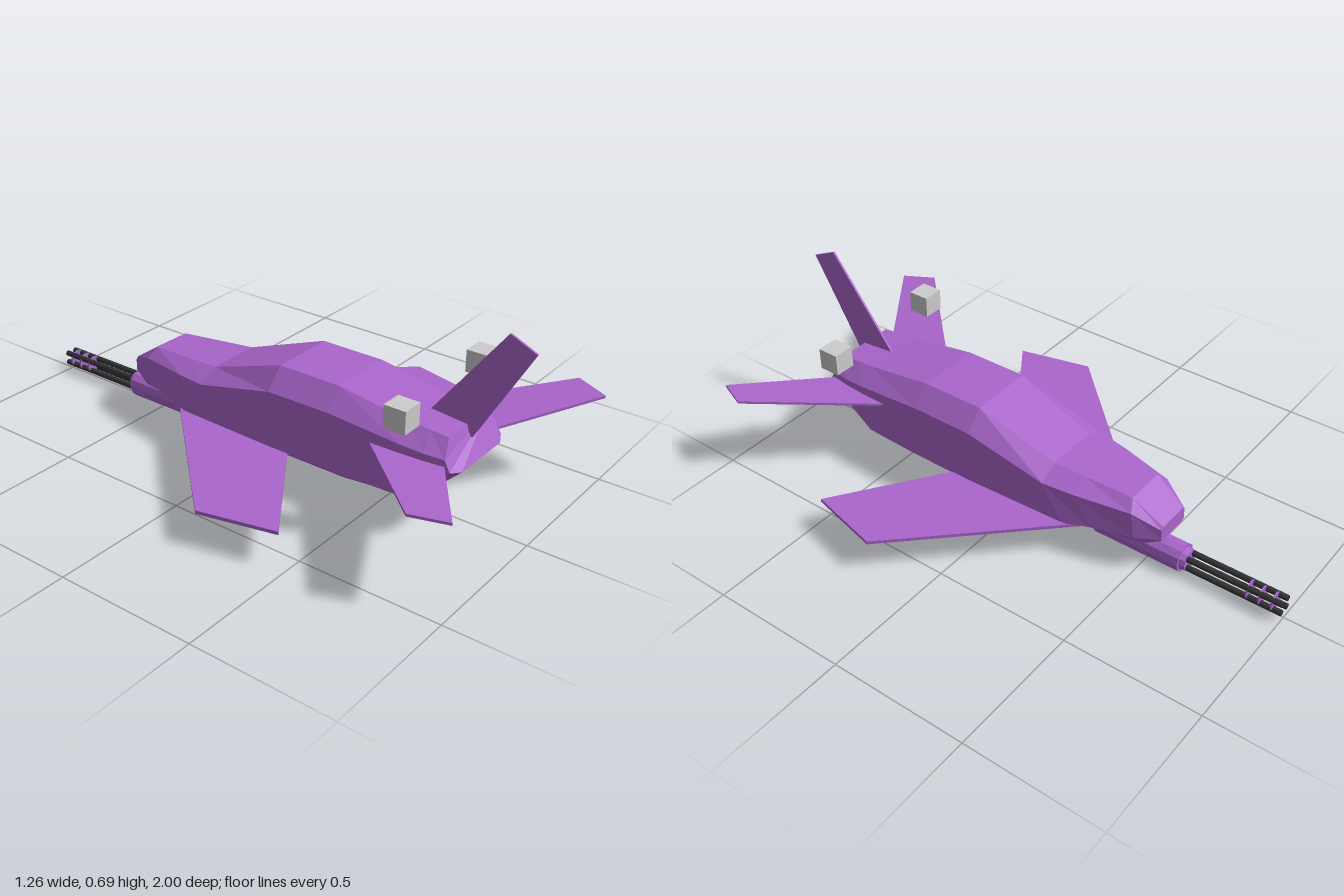
import * as THREE from 'three';

const purple = new THREE.MeshStandardMaterial({ name: 'purple paint', color: 0xaa66cc, flatShading: true });
const dark = new THREE.MeshStandardMaterial({ name: 'dark gunmetal', color: 0x333333 });
const grey = new THREE.MeshStandardMaterial({ name: 'light grey', color: 0xcccccc });

// Octagonal hull: each section lists top, shoulder, chine and keel as [x, y, z], tail to nose
const sections = [
  [[0.11, 0.354, 0.765], [0.155, 0.30, 0.78], [0.155, 0.262, 0.80], [0.115, 0.255, 0.82]],
  [[0.113, 0.36, 0.70], [0.168, 0.305, 0.71], [0.168, 0.195, 0.70], [0.115, 0.17, 0.73]],
  [[0.116, 0.366, 0.63], [0.175, 0.312, 0.63], [0.175, 0.132, 0.60], [0.12, 0.10, 0.62]],
  [[0.12, 0.405, 0.365], [0.183, 0.335, 0.365], [0.183, 0.13, 0.39], [0.12, 0.08, 0.39]],
  [[0.12, 0.405, 0.13], [0.185, 0.335, 0.13], [0.185, 0.13, 0.13], [0.12, 0.08, 0.13]],
  [[0.10, 0.30, -0.17], [0.172, 0.26, -0.17], [0.172, 0.13, -0.25], [0.115, 0.08, -0.25]],
  [[0.09, 0.293, -0.28], [0.155, 0.255, -0.28], [0.148, 0.145, -0.345], [0.10, 0.114, -0.345]],
  [[0.075, 0.28, -0.462], [0.11, 0.245, -0.48], [0.11, 0.15, -0.495], [0.08, 0.118, -0.515]],
  [[0.06, 0.205, -0.575], [0.07, 0.195, -0.575], [0.07, 0.155, -0.575], [0.06, 0.145, -0.575]],
];

function hullGeometry() {
  const rings = sections.map(s => [...s, ...s.slice().reverse().map(([x, y, z]) => [-x, y, z])]);
  const pos = [];
  const tri = (...p) => p.forEach(v => pos.push(...v));
  for (let s = 0; s < rings.length - 1; s++) {
    for (let i = 0; i < 8; i++) {
      const j = (i + 1) % 8, a = rings[s], b = rings[s + 1];
      tri(a[i], a[j], b[j]);
      tri(a[i], b[j], b[i]);
    }
  }
  const tail = rings[0], nose = rings[rings.length - 1];
  for (let i = 1; i < 7; i++) {
    tri(tail[0], tail[i + 1], tail[i]);
    tri(nose[0], nose[i], nose[i + 1]);
  }
  const g = new THREE.BufferGeometry();
  g.setAttribute('position', new THREE.Float32BufferAttribute(pos, 3));
  g.computeVertexNormals();
  return g;
}

function plate(points, thickness) {
  const shape = new THREE.Shape(points.map(p => new THREE.Vector2(...p)));
  return new THREE.ExtrudeGeometry(shape, { depth: thickness, bevelEnabled: false })
    .translate(0, 0, -thickness / 2);
}

// Horizontal plate from [x, z] points, rising outward by the given slope
function wing(points, side, y, slope, thickness) {
  const g = plate(points.map(([x, z]) => [x * side, z]), thickness).rotateX(Math.PI / 2);
  const p = g.attributes.position;
  for (let i = 0; i < p.count; i++) {
    p.setY(i, p.getY(i) + y + slope * (Math.abs(p.getX(i)) - 0.15));
  }
  g.computeVertexNormals();
  return g;
}

// Cylinder along z between z0 (rear) and z1 (front)
function rod(rRear, rFront, z0, z1, sides) {
  return new THREE.CylinderGeometry(rFront, rRear, z0 - z1, sides)
    .rotateX(-Math.PI / 2).translate(0, 0, (z0 + z1) / 2);
}

export function createModel() {
  const model = new THREE.Group();
  model.name = 'aircraft';
  const add = (name, geometry, material, parent = model) => {
    const mesh = new THREE.Mesh(geometry, material);
    mesh.name = name;
    parent.add(mesh);
    return mesh;
  };

  add('fuselage', hullGeometry(), purple);

  // Wings, tailplanes and rear pods, mirrored
  for (const side of [1, -1]) {
    const label = side > 0 ? 'left' : 'right';
    add(label + 'Wing', wing([[0.12, -0.325], [0.63, 0.20], [0.565, 0.47], [0.12, 0.165]],
      side, 0.127, 0, 0.012), purple);
    add(label + 'Tailplane', wing([[0.14, 0.485], [0.525, 0.88], [0.475, 0.998], [0.14, 0.77]],
      side, 0.273, 0.165, 0.009), purple);
    add(label + 'Cube', new THREE.BoxGeometry(0.078, 0.078, 0.078)
      .translate(side * 0.237, 0.453, 0.672), grey);
  }

  // Upright fin drawn in [z, y]
  add('fin', plate([[0.63, 0.36], [0.882, 0.692], [0.975, 0.65], [0.785, 0.315], [0.68, 0.315]], 0.008)
    .rotateY(-Math.PI / 2), purple);

  // Rotary cannon under the nose
  const cannon = new THREE.Group();
  cannon.name = 'cannon';
  cannon.position.y = 0.057;
  model.add(cannon);
  add('cannonHousing', rod(0.051, 0.051, -0.30, -0.63, 12), purple, cannon);
  add('cannonCollar', rod(0.042, 0.038, -0.63, -0.65, 12), purple, cannon);
  for (let i = 0; i < 4; i++) {
    const a = Math.PI / 4 + i * Math.PI / 2;
    add('barrel', rod(0.0105, 0.0105, -0.64, -1.0, 8)
      .translate(0.026 * Math.cos(a), 0.026 * Math.sin(a), 0), dark, cannon);
  }
  for (const z of [-0.875, -0.92, -0.965]) {
    add('barrelBand', rod(0.034, 0.034, z + 0.003, z - 0.003, 12), purple, cannon);
  }
  return model;
}
